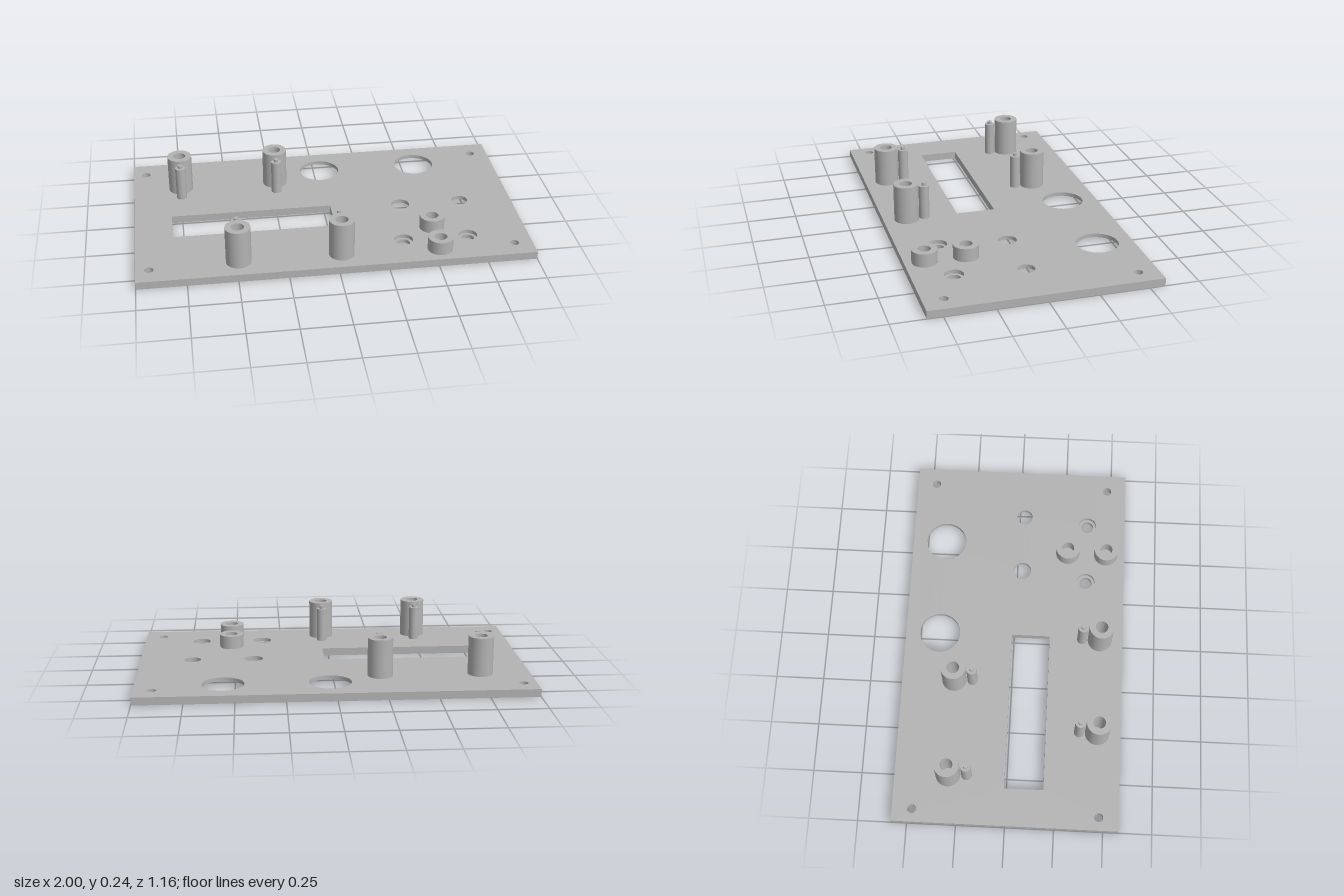
import * as THREE from 'three';

const W = 1, D = 0.578, T = 0.04, STEP = 0.02;

// Panel holes: x, z, radius in lower layer, radius in upper layer
const HOLES = [
  [0.025, -0.397, 0.177, 0.107], [0.56, -0.397, 0.177, 0.107], // large holes, recessed underneath
  [0.405, 0.025, 0.129, 0.048], [0.727, 0.025, 0.092, 0.043],  // medium holes, recessed underneath
  [0.356, 0.372, 0.033, 0.048], [0.69, 0.372, 0.033, 0.048],   // small holes, counterbored on top
];
for (const x of [-0.933, 0.907]) for (const z of [-0.476, 0.476]) HOLES.push([x, z, 0.023, 0.023]);

function rectangle(path, x0, z0, x1, z1) {
  path.moveTo(x0, z0);
  path.lineTo(x1, z0);
  path.lineTo(x1, z1);
  path.lineTo(x0, z1);
  path.closePath();
  return path;
}

// One horizontal slice of the panel
function panelLayer(y0, y1, radiusIndex) {
  const shape = rectangle(new THREE.Shape(), -W, -D, W, D);
  shape.holes.push(rectangle(new THREE.Path(), -0.805, -0.012, 0.032, 0.19));
  for (const h of HOLES) {
    shape.holes.push(new THREE.Path().absarc(h[0], h[1], h[radiusIndex], 0, Math.PI * 2));
  }
  const geometry = new THREE.ExtrudeGeometry(shape, { depth: y1 - y0, bevelEnabled: false, curveSegments: 24 });
  geometry.rotateX(Math.PI / 2);
  geometry.translate(0, y1, 0);
  return geometry;
}

// Round boss with a blind bore; each face is its own lathe so that edges stay sharp
function bossParts(radius, bore, top) {
  const profile = [[radius, T], [radius, top], [bore, top], [bore, T + 0.001], [0, T + 0.001]];
  return profile.slice(1).map((p, i) => new THREE.LatheGeometry(
    [new THREE.Vector2(...profile[i]), new THREE.Vector2(...p)], 40));
}

export function createModel() {
  const model = new THREE.Group();
  const grey = new THREE.MeshStandardMaterial({ color: 0xb3b3b3 });
  grey.name = 'grey plastic';

  const add = (parent, geometry, name) => {
    const mesh = new THREE.Mesh(geometry, grey);
    mesh.name = name;
    parent.add(mesh);
    return mesh;
  };

  // Panel
  const panel = new THREE.Group();
  panel.name = 'panel';
  add(panel, panelLayer(0, STEP, 2), 'panelLower');
  add(panel, panelLayer(STEP, T, 3), 'panelUpper');
  model.add(panel);

  const addBoss = (name, x, z, top) => {
    const boss = new THREE.Group();
    boss.name = name;
    boss.position.set(x, 0, z);
    const names = ['Wall', 'Rim', 'Bore', 'BoreFloor'];
    bossParts(0.064, 0.032, top).forEach((g, i) => add(boss, g, name + names[i]));
    model.add(boss);
  };

  // Tall screw posts, each with a stepped locating pin beside it
  const posts = [[-0.745, -0.303, -0.207], [-0.233, -0.303, -0.207], [-0.49, 0.457, 0.363], [0.025, 0.457, 0.363]];
  for (const [x, z, pinZ] of posts) {
    addBoss('screwPost', x, z, 0.24);
    const pin = new THREE.Group();
    pin.name = 'locatingPin';
    pin.position.set(x, 0, pinZ);
    add(pin, new THREE.CylinderGeometry(0.027, 0.027, 0.18, 28), 'pinShaft').position.y = 0.13;
    add(pin, new THREE.CylinderGeometry(0.012, 0.012, 0.016, 20), 'pinTip').position.y = 0.228;
    model.add(pin);
  }

  // Short bosses
  for (const z of [0.27, 0.477]) addBoss('shortBoss', 0.523, z, 0.11);

  return model;
}
